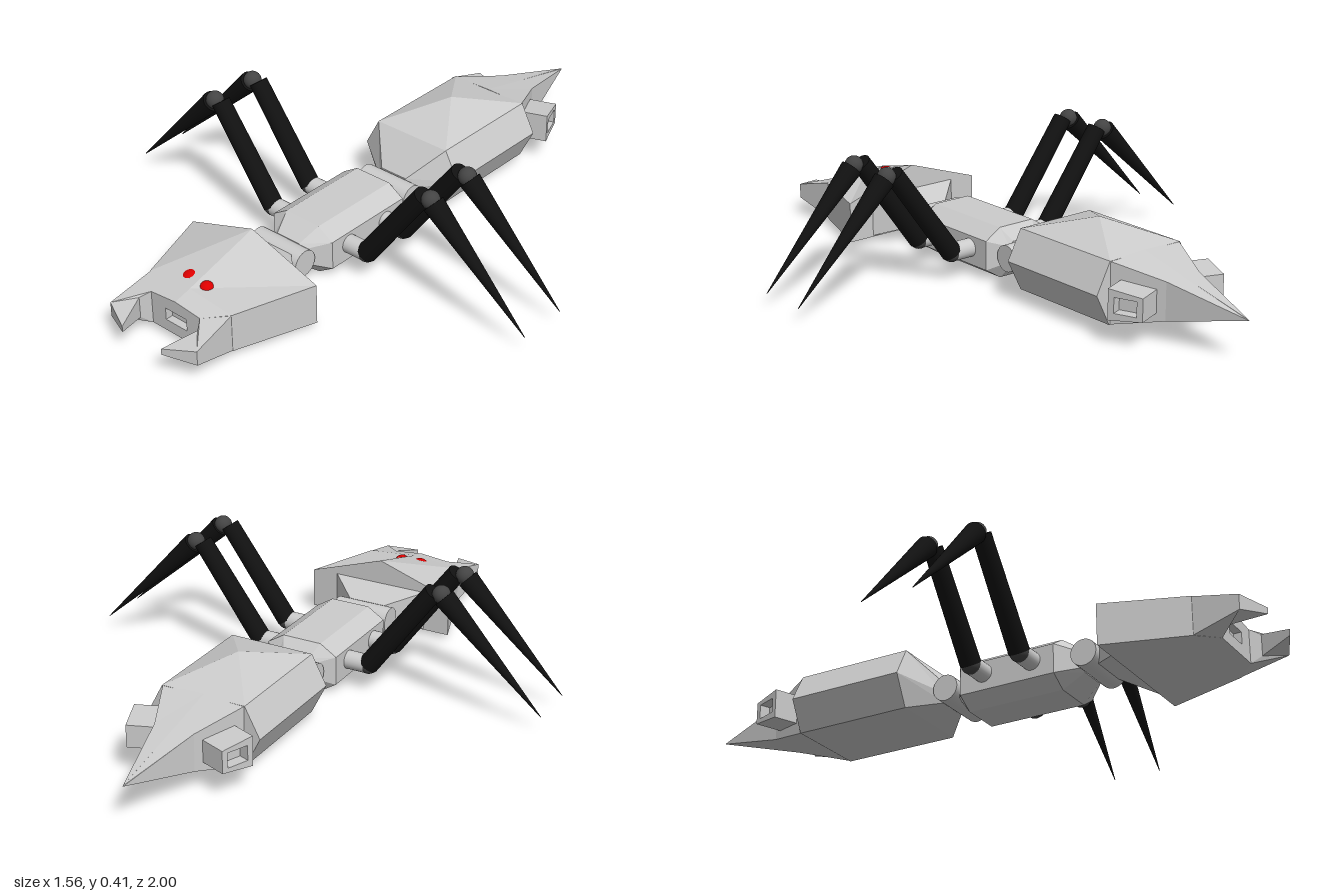
import * as THREE from 'three';
import { ConvexGeometry } from 'three/addons/geometries/ConvexGeometry.js';

const grey = new THREE.MeshStandardMaterial({ color: 0xcccccc, flatShading: true });
const smoothGrey = new THREE.MeshStandardMaterial({ color: 0xcccccc });
const black = new THREE.MeshStandardMaterial({ color: 0x111111 });
const darkGrey = new THREE.MeshStandardMaterial({ color: 0x444444 });
const red = new THREE.MeshStandardMaterial({ color: 0xdd0000 });

const V = (x, y, z) => new THREE.Vector3(x, y, z);

function add(parent, name, geometry, material, x = 0, y = 0, z = 0) {
  const mesh = new THREE.Mesh(geometry, material);
  mesh.name = name;
  mesh.position.set(x, y, z);
  parent.add(mesh);
  return mesh;
}

// Symmetric cross-section: half-outline from bottom to top, mirrored, anticlockwise from +z
function section(z, half) {
  const right = half.map(([x, y]) => V(x, y, z));
  const left = half.filter(([x]) => x > 0).reverse().map(([x, y]) => V(-x, y, z));
  return [...right, ...left];
}

// Joins cross-sections listed from back to front, with optional end caps
function loft(sections, capBack = true, capFront = true) {
  const p = [];
  const tri = (...vs) => vs.forEach(v => p.push(v.x, v.y, v.z));
  const n = sections[0].length;
  for (let s = 0; s < sections.length - 1; s++) {
    const a = sections[s], b = sections[s + 1];
    for (let i = 0; i < n; i++) {
      const j = (i + 1) % n;
      tri(a[i], a[j], b[j]);
      tri(a[i], b[j], b[i]);
    }
  }
  const first = sections[0], last = sections[sections.length - 1];
  for (let i = 1; i < n - 1; i++) {
    if (capBack) tri(first[0], first[i + 1], first[i]);
    if (capFront) tri(last[0], last[i], last[i + 1]);
  }
  const g = new THREE.BufferGeometry();
  g.setAttribute('position', new THREE.Float32BufferAttribute(p, 3));
  g.computeVertexNormals();
  return g;
}

// Flat plate with a window, extruded along z
function windowPlate(outline, w, h, cy, depth) {
  const shape = new THREE.Shape(outline.map(([x, y]) => new THREE.Vector2(x, y)));
  const hole = [[-w, cy - h], [-w, cy + h], [w, cy + h], [w, cy - h]];
  shape.holes.push(new THREE.Path(hole.map(([x, y]) => new THREE.Vector2(x, y))));
  return new THREE.ExtrudeGeometry(shape, { depth, bevelEnabled: false });
}

// Cylinder or cone between two points
function rod(parent, name, from, to, r0, r1, material) {
  const dir = to.clone().sub(from);
  const mesh = add(parent, name, new THREE.CylinderGeometry(r1, r0, dir.length(), 24), material);
  mesh.position.copy(from).add(to).multiplyScalar(0.5);
  mesh.quaternion.setFromUnitVectors(V(0, 1, 0), dir.normalize());
  return mesh;
}

function buildHead() {
  const head = new THREE.Group();
  head.name = 'head';
  const front = [[0.1, 0.025], [0.1, 0.135], [0, 0.145]];
  add(head, 'skull', loft([
    section(0.54, [[0.255, 0.018], [0.255, 0.15], [0, 0.235]]),
    section(0.8, [[0.168, 0.02], [0.168, 0.145], [0, 0.16]]),
    section(0.86, front),
  ], true, false), grey);
  add(head, 'neck', loft([
    section(0.44, [[0.06, 0.06], [0.06, 0.12]]),
    section(0.545, [[0.17, 0.02], [0.17, 0.155]]),
  ]), grey);
  // Recessed mouth
  const outline = section(0, front).map(v => [v.x, v.y]);
  add(head, 'face', windowPlate(outline, 0.043, 0.02, 0.083, 0.03), grey, 0, 0, 0.83);
  add(head, 'mouth', new THREE.BoxGeometry(0.1, 0.05, 0.01), grey, 0, 0.083, 0.83);
  // Hooked mandibles
  for (const s of [1, -1]) {
    const bend = [V(s * 0.12, 0.12, 0.89), V(s * 0.12, 0.05, 0.89),
      V(s * 0.178, 0.108, 0.95), V(s * 0.178, 0.06, 0.95)];
    add(head, 'mandibleBase', new ConvexGeometry([...bend,
      V(s * 0.1, 0.135, 0.86), V(s * 0.1, 0.025, 0.86),
      V(s * 0.167, 0.144, 0.8), V(s * 0.167, 0.021, 0.8)]), grey);
    add(head, 'mandibleTip', new ConvexGeometry([...bend,
      V(s * 0.08, 0.095, 0.995), V(s * 0.08, 0.075, 0.995)]), grey);
  }
  // Uneven cluster of eyes
  for (const [x, y, z, r] of [[-0.1, 0.14, 0.68, 0.037], [-0.045, 0.142, 0.75, 0.033], [0.025, 0.147, 0.757, 0.025]])
    add(head, 'eye', new THREE.SphereGeometry(r, 24, 16), red, x, y, z);
  return head;
}

function buildThorax() {
  const thorax = new THREE.Group();
  thorax.name = 'thorax';
  const body = [[0.066, 0], [0.122, 0.035], [0.122, 0.13], [0.066, 0.165]];
  const end = [[0.045, 0.05], [0.06, 0.06], [0.06, 0.11], [0.045, 0.125]];
  add(thorax, 'thoraxBody', loft([section(-0.04, end), section(0, body),
    section(0.325, body), section(0.39, end)]), grey);
  // Hinge barrels at both ends
  for (const [x, z] of [[-0.005, 0.415], [0.003, -0.072]]) {
    const hinge = add(thorax, 'hinge', new THREE.CylinderGeometry(0.043, 0.043, 0.195, 24), smoothGrey, x, 0.088, z);
    hinge.rotation.z = Math.PI / 2;
  }
  return thorax;
}

function buildAbdomen() {
  const abdomen = new THREE.Group();
  abdomen.name = 'abdomen';
  const hex = [[0.14, 0.03], [0.19, 0.13], [0.14, 0.225]];
  add(abdomen, 'abdomenShell', new ConvexGeometry([
    ...section(-0.585, hex), ...section(-0.188, hex), V(0, 0.283, -0.385),
  ]), grey);
  add(abdomen, 'waist', loft([
    section(-0.188, hex),
    section(-0.1, [[0.05, 0.06], [0.06, 0.09], [0.05, 0.125]]),
  ]), grey);
  // Pointed tail with a ridge carried down from the shell
  add(abdomen, 'tail', loft([
    section(-1, [[0.001, 0.13], [0.001, 0.131], [0, 0.132]]),
    section(-0.74, [[0.066, 0.068], [0.066, 0.188], [0, 0.19]]),
    section(-0.58, [[0.14, 0.03], [0.14, 0.225], [0, 0.228]]),
  ]), grey);
  // Angled side vents with a recessed window
  for (const s of [1, -1]) {
    const vent = new THREE.Group();
    vent.name = 'vent';
    const k = 0.055;
    const outline = [[-k, s > 0 ? -0.048 : -0.036], [k, s > 0 ? -0.036 : -0.048],
      [k, s > 0 ? 0.036 : 0.048], [-k, s > 0 ? 0.048 : 0.036]];
    add(vent, 'ventFrame', windowPlate(outline, 0.036, 0.024, 0, 0.1), grey, 0, 0, -0.05);
    add(vent, 'ventFloor', new THREE.BoxGeometry(0.08, 0.055, 0.06), grey, 0, 0, -0.015);
    vent.position.set(s * 0.135, 0.125, -0.677);
    vent.rotation.y = s * (Math.PI / 2 + 0.36);
    abdomen.add(vent);
  }
  return abdomen;
}

function buildLeg(s, z) {
  const leg = new THREE.Group();
  leg.name = s > 0 ? 'leftLeg' : 'rightLeg';
  const hip = V(s * 0.195, 0.09, z), knee = V(s * 0.438, 0.382, z);
  const foot = V(s * 0.78, 0.048, z + (s > 0 ? -0.018 : 0.003));
  rod(leg, 'hip', V(s * 0.1, 0.09, z), hip, 0.03, 0.03, smoothGrey);
  add(leg, 'hipJoint', new THREE.SphereGeometry(0.031, 20, 14), darkGrey, hip.x, hip.y, hip.z);
  rod(leg, 'upperLeg', hip, V(s * 0.412, 0.385, z), 0.033, 0.03, black);
  add(leg, 'knee', new THREE.SphereGeometry(0.029, 20, 14), darkGrey, knee.x, knee.y, knee.z);
  rod(leg, 'lowerLeg', V(s * 0.448, 0.373, z), foot, 0.034, 0.001, black);
  return leg;
}

export function createModel() {
  const model = new THREE.Group();
  model.name = 'mechanicalInsect';
  model.add(buildHead(), buildThorax(), buildAbdomen());
  for (const z of [0.082, 0.25]) for (const s of [1, -1]) model.add(buildLeg(s, z));
  return model;
}
